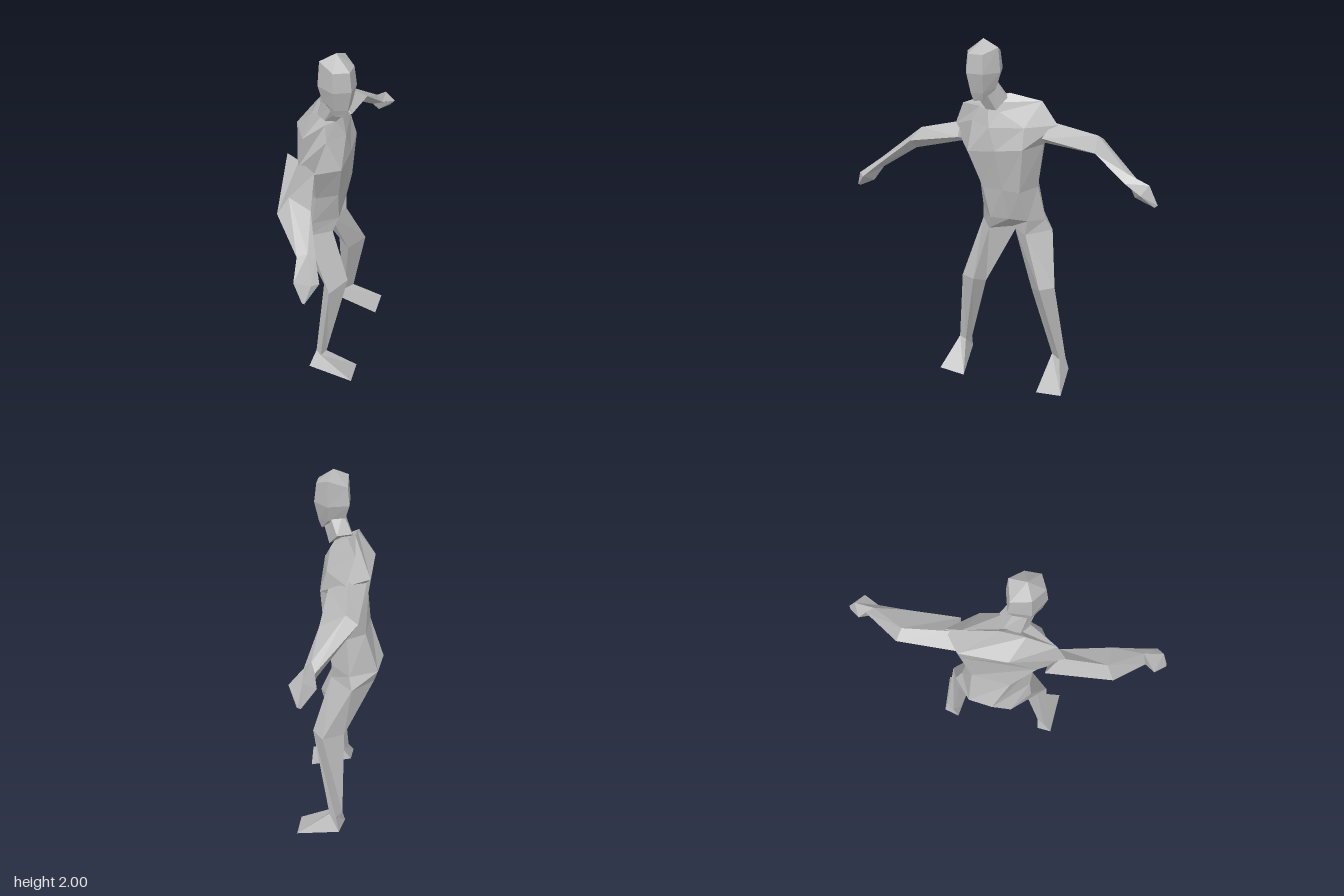
import * as THREE from 'three';

const skin = new THREE.MeshStandardMaterial({ color: 0xb8b8b8 });
skin.name = 'plain grey';

// Faceted skin over a stack of closed cross-sections, with both ends capped.
function loft(name, rings) {
  const n = rings[0].length;
  const tris = [];
  const centre = (r) => [0, 1, 2].map((k) => r.reduce((s, p) => s + p[k], 0) / n);
  for (let i = 0; i < rings.length - 1; i++) {
    const a = rings[i], b = rings[i + 1];
    for (let j = 0; j < n; j++) {
      const k = (j + 1) % n;
      tris.push([a[j], a[k], b[k]], [a[j], b[k], b[j]]);
    }
  }
  const first = rings[0], last = rings[rings.length - 1];
  const c0 = centre(first), c1 = centre(last);
  for (let j = 0; j < n; j++) {
    const k = (j + 1) % n;
    tris.push([c0, first[k], first[j]], [c1, last[j], last[k]]);
  }
  // Turn the faces outward whichever way round the sections run
  let volume = 0;
  const o = new THREE.Vector3(...c0);
  for (const t of tris) {
    const [a, b, c] = t.map((p) => new THREE.Vector3(...p).sub(o));
    volume += a.dot(b.cross(c));
  }
  if (volume < 0) tris.forEach((t) => t.reverse());
  const geo = new THREE.BufferGeometry();
  geo.setAttribute('position', new THREE.Float32BufferAttribute(tris.flat(2), 3));
  geo.computeVertexNormals();
  const mesh = new THREE.Mesh(geo, skin);
  mesh.name = name;
  return mesh;
}

// Six-sided head section; heights run face, left cheek, left back, back, right back, right cheek.
function headRing(scale, heights) {
  const outline = [[0.06, 0.09], [0.097, 0.01], [0.06, -0.08], [-0.05, -0.1], [-0.09, 0], [-0.03, 0.09]];
  return outline.map(([u, w], i) => [-0.06 + u * scale, heights[i], 0.06 + w * scale]);
}

export function createModel() {
  const model = new THREE.Group();
  model.name = 'figure';

  // Torso, hips to shoulders: front right, front middle, front left, left, back left, back right, right
  model.add(loft('torso', [
    [[-0.085, 0.935, 0.035], [-0.1, 0.935, -0.1], [0.02, 0.935, -0.16], [-0.04, 0.935, -0.32],
      [-0.19, 0.935, -0.26], [-0.29, 0.935, -0.07], [-0.23, 0.935, 0.06]],
    [[-0.05, 1.02, 0.03], [-0.015, 1.02, -0.07], [0.02, 1.02, -0.17], [-0.04, 1.0, -0.28],
      [-0.2, 1.0, -0.28], [-0.275, 1.02, -0.17], [-0.2, 1.02, 0.06]],
    [[-0.055, 1.2, 0.07], [0, 1.2, -0.03], [0.045, 1.2, -0.12], [-0.04, 1.2, -0.23],
      [-0.14, 1.22, -0.24], [-0.235, 1.2, -0.06], [-0.175, 1.2, 0.08]],
    [[-0.05, 1.41, 0.15], [0.02, 1.43, 0.01], [0.07, 1.45, -0.13], [-0.01, 1.455, -0.25],
      [-0.13, 1.48, -0.28], [-0.255, 1.41, 0.07], [-0.19, 1.41, 0.17]],
    [[-0.12, 1.56, 0.12], [-0.01, 1.55, 0.04], [0.04, 1.56, -0.14], [0, 1.56, -0.32],
      [-0.135, 1.56, -0.29], [-0.245, 1.58, -0.07], [-0.27, 1.49, 0.21]],
    [[-0.12, 1.635, 0.08], [-0.06, 1.63, 0.04], [-0.02, 1.63, -0.02], [-0.07, 1.67, -0.245],
      [-0.13, 1.7, -0.08], [-0.18, 1.68, 0.03], [-0.24, 1.62, 0.165]],
  ]));

  // Neck and head
  model.add(loft('neck', [
    [[-0.06, 1.635, 0.05], [-0.02, 1.64, 0], [-0.04, 1.7, -0.06], [-0.12, 1.7, -0.06],
      [-0.15, 1.66, 0.01], [-0.12, 1.65, 0.06]],
    headRing(0.6, [1.74, 1.76, 1.79, 1.79, 1.79, 1.76]),
  ]));
  model.add(loft('head', [
    headRing(0.6, [1.69, 1.7, 1.74, 1.76, 1.74, 1.7]),
    headRing(0.76, [1.735, 1.74, 1.76, 1.77, 1.76, 1.74]),
    headRing(1, [1.84, 1.84, 1.84, 1.84, 1.84, 1.84]),
    headRing(0.88, [1.935, 1.935, 1.965, 1.93, 1.965, 1.935]),
    headRing(0, [2, 2, 2, 2, 2, 2]),
  ]));

  // Left arm: top, back, underside, front
  const leftWrist = [[0.27, 1.39, -0.64], [0.27, 1.36, -0.69], [0.25, 1.32, -0.66], [0.3, 1.35, -0.62]];
  model.add(loft('leftArm', [
    [[-0.02, 1.57, -0.3], [-0.12, 1.54, -0.28], [-0.03, 1.455, -0.26], [0.06, 1.51, -0.23]],
    [[0.07, 1.525, -0.52], [0.025, 1.49, -0.56], [0.11, 1.435, -0.52], [0.185, 1.47, -0.485]],
    leftWrist,
  ]));
  model.add(loft('leftHand', [
    leftWrist,
    [[0.34, 1.355, -0.735], [0.275, 1.31, -0.735], [0.29, 1.27, -0.68], [0.388, 1.32, -0.68]],
    [[0.375, 1.26, -0.777], [0.36, 1.25, -0.775], [0.36, 1.245, -0.765], [0.375, 1.25, -0.76]],
  ]));

  // Right arm: top, outside, underside, front
  const rightWrist = [[-0.27, 1.3, 0.63], [-0.32, 1.28, 0.625], [-0.29, 1.24, 0.62], [-0.235, 1.27, 0.65]];
  model.add(loft('rightArm', [
    [[-0.26, 1.51, 0.18], [-0.31, 1.5, 0.09], [-0.24, 1.41, 0.13], [-0.19, 1.44, 0.2]],
    [[-0.33, 1.455, 0.4], [-0.39, 1.38, 0.42], [-0.29, 1.35, 0.43], [-0.235, 1.41, 0.46]],
    rightWrist,
  ]));
  model.add(loft('rightHand', [
    rightWrist,
    [[-0.27, 1.215, 0.755], [-0.345, 1.18, 0.685], [-0.29, 1.16, 0.68], [-0.23, 1.205, 0.735]],
    [[-0.305, 1.13, 0.777], [-0.315, 1.13, 0.77], [-0.31, 1.12, 0.765], [-0.3, 1.13, 0.77]],
  ]));

  // Left leg: inside, front, outside, back
  const leftAnkle = [[0.03, 0.135, -0.335], [0.095, 0.135, -0.37], [0.07, 0.135, -0.41], [0.02, 0.135, -0.38]];
  model.add(loft('leftLeg', [
    [[-0.085, 0.935, -0.11], [0.02, 0.935, -0.16], [-0.04, 0.935, -0.32], [-0.19, 0.935, -0.26]],
    [[0.035, 0.6, -0.2], [0.145, 0.65, -0.23], [0.12, 0.65, -0.32], [-0.005, 0.65, -0.315]],
    leftAnkle,
  ]));
  model.add(loft('leftFoot', [
    leftAnkle,
    [[0.22, 0, -0.22], [0.285, 0.02, -0.355], [0.06, 0.04, -0.435], [-0.005, 0.045, -0.36]],
  ]));

  // Right leg: outer back, outer front, front, inside
  const rightAnkle = [[-0.21, 0.135, 0.17], [-0.19, 0.135, 0.215], [-0.15, 0.135, 0.18], [-0.18, 0.135, 0.14]];
  model.add(loft('rightLeg', [
    [[-0.29, 0.935, -0.07], [-0.23, 0.935, 0.06], [-0.085, 0.935, 0.035], [-0.12, 0.93, -0.13]],
    [[-0.15, 0.63, 0.13], [-0.13, 0.61, 0.19], [-0.015, 0.645, 0.13], [-0.07, 0.6, 0.055]],
    rightAnkle,
  ]));
  model.add(loft('rightFoot', [
    rightAnkle,
    [[-0.26, 0.045, 0.21], [-0.025, 0.02, 0.34], [0.03, 0, 0.2], [-0.215, 0.04, 0.135]],
  ]));

  return model;
}
